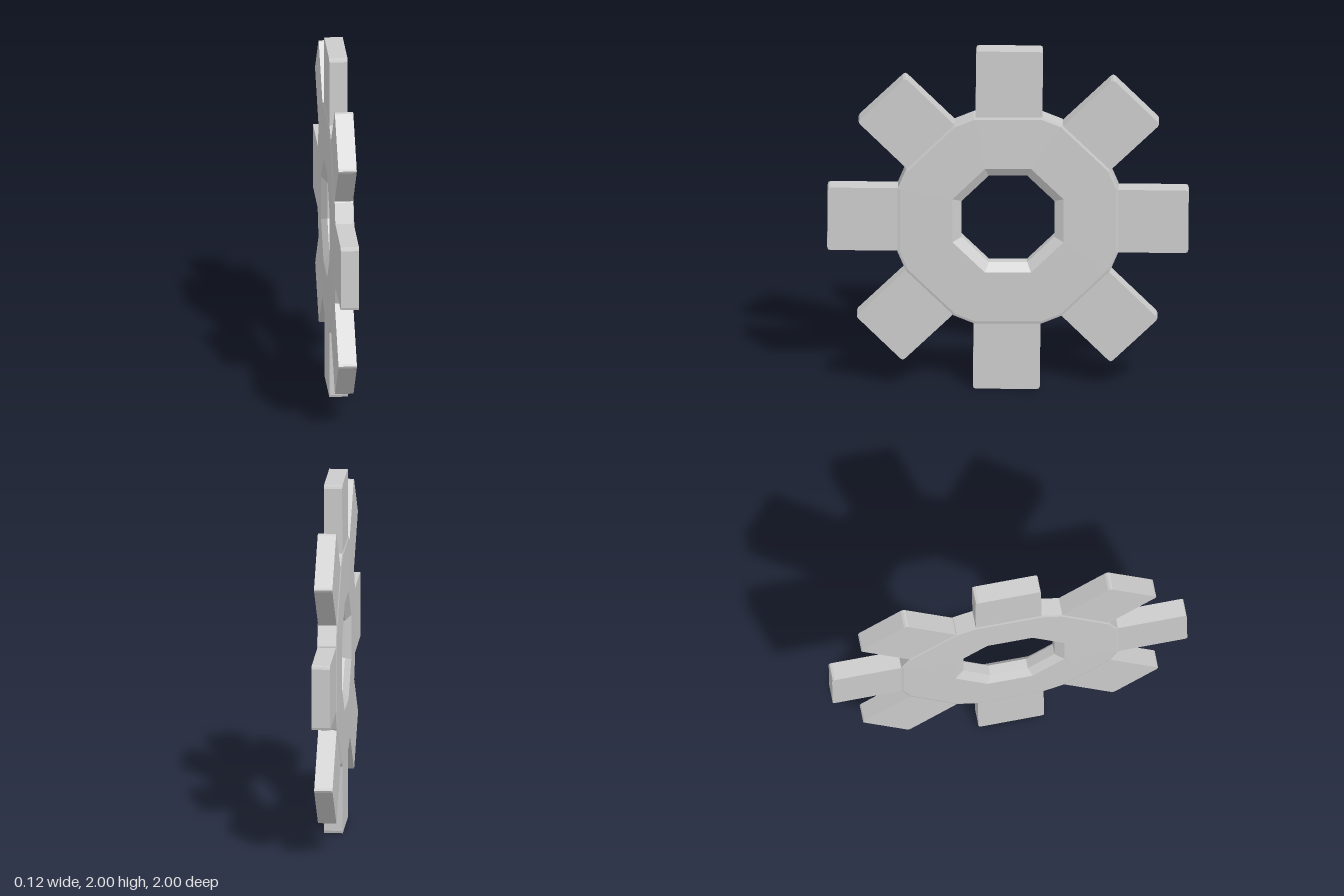
import * as THREE from 'three';

const material = new THREE.MeshStandardMaterial({ color: 0xcccccc, flatShading: true, side: THREE.DoubleSide });

// Octagon of the given apothem with its corners cut back by `cut`: 16 points at depth z
function octagonLoop([apothem, cut, z]) {
  const points = [];
  const half = apothem * Math.tan(Math.PI / 8) - cut;
  for (let i = 0; i < 8; i++) {
    const a = (i * Math.PI) / 4;
    for (const h of [-half, half]) {
      points.push(new THREE.Vector3(
        Math.cos(a) * apothem - Math.sin(a) * h,
        Math.sin(a) * apothem + Math.cos(a) * h,
        z));
    }
  }
  return points;
}

// Closed ring skinned through octagonal loops
function createHub() {
  const half = [
    [0.256, 0, 0.028],     // bore wall
    [0.307, 0, 0.059],     // bore chamfer
    [0.597, 0.063, 0.055], // slightly domed face
    [0.61, 0.065, 0.051],  // softened rim
  ];
  const mirrored = half.map(([a, c, z]) => [a, c, -z]).reverse();
  const loops = [...half, ...mirrored].map(octagonLoop);
  const positions = [];
  const triangle = new THREE.Triangle();
  const add = (a, b, c) => {
    triangle.set(a, b, c);
    if (triangle.getArea() > 1e-8) for (const p of [a, b, c]) positions.push(p.x, p.y, p.z);
  };
  loops.forEach((p, i) => {
    const q = loops[(i + 1) % loops.length];
    for (let j = 0; j < 16; j++) {
      const k = (j + 1) % 16;
      add(p[j], q[j], q[k]);
      add(p[j], q[k], p[k]);
    }
  });
  const geometry = new THREE.BufferGeometry();
  geometry.setAttribute('position', new THREE.Float32BufferAttribute(positions, 3));
  geometry.computeVertexNormals();
  return geometry;
}

// Rectangular tooth pointing up, with eased tip corners
function createTooth() {
  const w = 0.185, tip = 0.998, r = 0.018;
  const shape = new THREE.Shape();
  shape.moveTo(-w, 0.52);
  shape.lineTo(w, 0.52);
  shape.lineTo(w, tip - r);
  shape.quadraticCurveTo(w, tip, w - r, tip);
  shape.lineTo(-w + r, tip);
  shape.quadraticCurveTo(-w, tip, -w, tip - r);
  const geometry = new THREE.ExtrudeGeometry(shape, { depth: 0.102, bevelEnabled: false, curveSegments: 2 });
  return geometry.translate(0, 0, -0.051);
}

export function createModel() {
  const model = new THREE.Group();
  model.name = 'gear';

  const wheel = new THREE.Group();
  wheel.name = 'wheel';
  wheel.rotation.y = Math.PI / 2;
  wheel.position.y = 1;
  model.add(wheel);

  const hub = new THREE.Mesh(createHub(), material);
  hub.name = 'hub';
  wheel.add(hub);

  // Eight teeth, turned very slightly against the hub
  const toothGeometry = createTooth();
  for (let i = 0; i < 8; i++) {
    const tooth = new THREE.Mesh(toothGeometry, material);
    tooth.name = `tooth${i + 1}`;
    tooth.rotation.z = (i * Math.PI) / 4 - 0.009;
    wheel.add(tooth);
  }
  return model;
}
